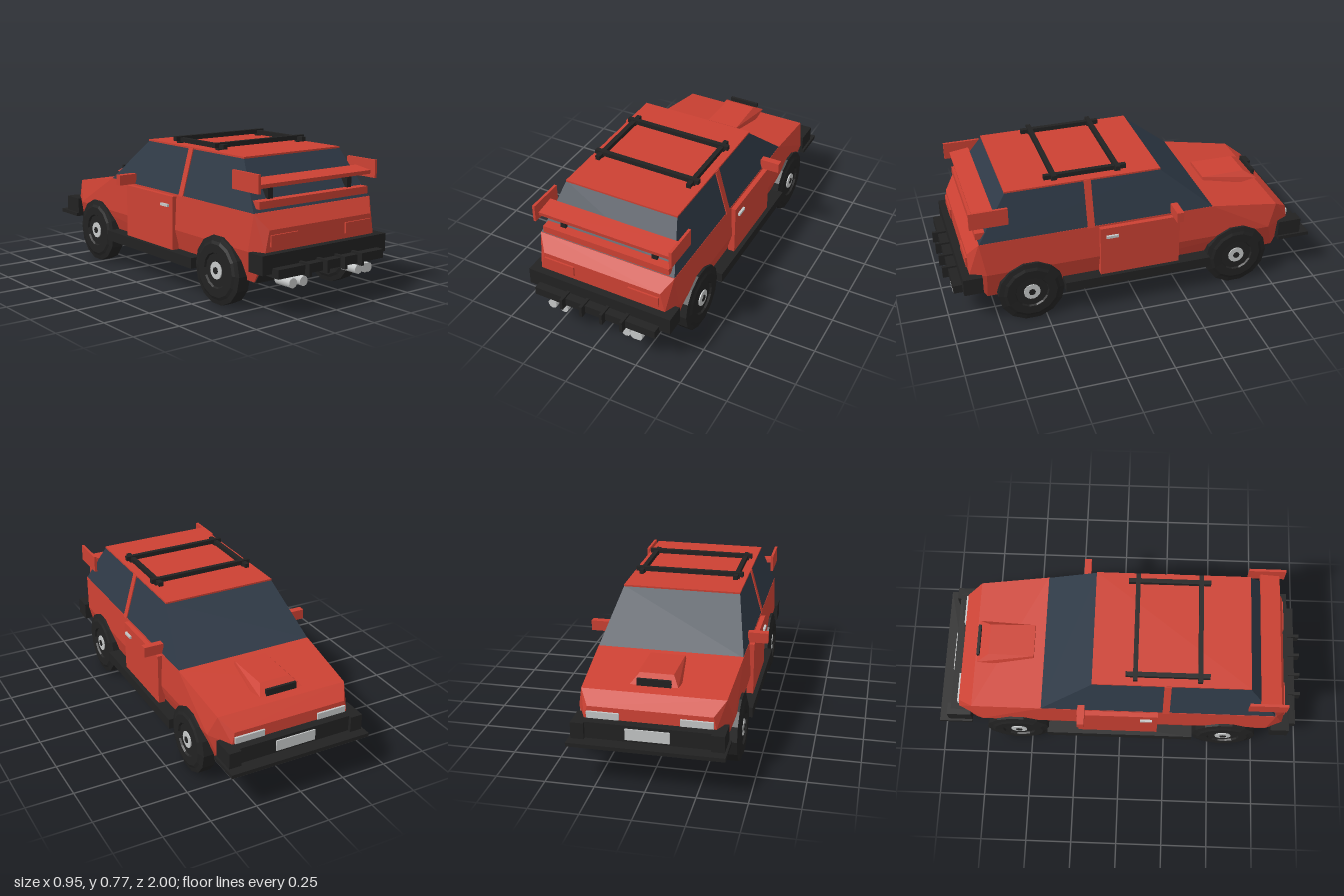
import * as THREE from 'three';
import { ConvexGeometry } from 'three/addons/geometries/ConvexGeometry.js';

const paint = (name, color) => Object.assign(new THREE.MeshStandardMaterial({ color }), { name });

export function createModel() {
  const car = new THREE.Group();
  car.name = 'hatchback';
  const red = paint('red paint', 0xcc4133);
  const glass = paint('tinted glass', 0x2f3a47);
  const black = paint('black trim', 0x222222);
  const silver = paint('silver metal', 0xc6c8c8);

  const add = (name, geo, mat) => {
    const m = new THREE.Mesh(geo, mat);
    m.name = name;
    car.add(m);
    return m;
  };
  // box given by its minimum and maximum on each axis
  const box = (name, mat, x0, x1, y0, y1, z0, z1) => {
    const g = new THREE.BoxGeometry(x1 - x0, y1 - y0, z1 - z0);
    g.translate((x0 + x1) / 2, (y0 + y1) / 2, (z0 + z1) / 2);
    return add(name, g, mat);
  };
  // the same box on both sides of the car
  const pair = (name, mat, x0, x1, ...rest) => {
    box(name + 'Left', mat, x0, x1, ...rest);
    box(name + 'Right', mat, -x1, -x0, ...rest);
  };
  // convex solid from corner points of the left half, mirrored to the right
  const hull = (name, mat, pts) => add(name, new ConvexGeometry(
    pts.flatMap(([x, y, z]) => [new THREE.Vector3(x, y, z), new THREE.Vector3(-x, y, z)])), mat);

  // Body shell with chamfered corners and sloping bonnet
  hull('body', red, [
    [0.35, 0.155, 0.8], [0.34, 0.16, -0.8],
    [0.39, 0.31, 0.8], [0.355, 0.31, 0.885], [0.39, 0.31, -0.75], [0.325, 0.315, -0.885],
    [0.33, 0.42, 0.885], [0.38, 0.495, 0.83], [0.38, 0.495, -0.42],
    [0.36, 0.43, -0.8], [0.31, 0.375, -0.88],
  ]);
  box('floor', black, -0.335, 0.335, 0.147, 0.156, -0.8, 0.8);
  hull('rearLowerPanel', black, [
    [0.345, 0.148, 0.79], [0.345, 0.155, 0.806], [0.335, 0.25, 0.858], [0.335, 0.25, 0.845]]);
  hull('frontLowerPanel', black, [
    [0.33, 0.148, -0.79], [0.33, 0.16, -0.806], [0.32, 0.25, -0.862], [0.32, 0.25, -0.845]]);

  // Cabin: glass all round, painted roof and centre pillars
  hull('cabinGlass', glass, [
    [0.38, 0.49, -0.425], [0.38, 0.49, 0.83], [0.312, 0.732, -0.14], [0.312, 0.732, 0.67]]);
  box('roof', red, -0.313, 0.313, 0.729, 0.738, -0.145, 0.673);
  for (const s of [1, -1]) {
    const pts = [];
    for (const z of [0.228, 0.265]) for (const d of [-0.003, 0.005]) {
      pts.push(new THREE.Vector3(s * (0.38 + d), 0.49, z), new THREE.Vector3(s * (0.312 + d), 0.735, z));
    }
    add('centrePillar', new ConvexGeometry(pts), red);
  }

  // Doors, handles, mirrors and sills
  pair('door', red, 0.37, 0.406, 0.2, 0.485, -0.228, 0.205);
  pair('doorHandle', silver, 0.4, 0.418, 0.428, 0.442, 0.11, 0.175);
  pair('mirror', red, 0.37, 0.476, 0.495, 0.55, -0.222, -0.185);
  pair('sill', black, 0.34, 0.429, 0.15, 0.205, -0.4, 0.4);

  // Bonnet scoop
  hull('bonnetScoop', red, [
    [0.12, 0.465, -0.785], [0.085, 0.503, -0.72], [0.09, 0.503, -0.475],
    [0.1, 0.465, -0.475], [0.12, 0.45, -0.7]]);
  box('scoopIntake', black, -0.085, 0.085, 0.462, 0.497, -0.787, -0.772);

  // Front bumper, splitter, lamps and plate
  box('frontBumper', black, -0.345, 0.345, 0.225, 0.315, -0.931, -0.83);
  pair('frontBumperEnd', black, 0.31, 0.376, 0.225, 0.315, -0.95, -0.82);
  box('splitter', black, -0.388, 0.388, 0.21, 0.23, -1, -0.82);
  box('numberPlate', silver, -0.11, 0.11, 0.242, 0.3, -0.938, -0.93);
  pair('headlight', silver, 0.15, 0.312, 0.318, 0.352, -0.893, -0.87);

  // Rear bumper, diffuser and tail lamps
  box('rearBumper', black, -0.405, 0.405, 0.222, 0.315, 0.825, 0.925);
  box('diffuser', black, -0.345, 0.345, 0.205, 0.25, 0.86, 0.97);
  for (const x of [-0.172, -0.058, 0.058, 0.172]) {
    box('diffuserFin', black, x - 0.008, x + 0.008, 0.197, 0.26, 0.92, 1);
  }
  pair('tailLamp', red, 0.155, 0.325, 0.34, 0.396, 0.87, 0.894);

  // Exhaust pipes
  for (const x of [-0.25, -0.182, 0.18, 0.227, 0.247]) {
    const pipe = new THREE.CylinderGeometry(0.025, 0.025, 0.105, 10);
    pipe.rotateX(Math.PI / 2).translate(x, 0.171, 0.912);
    add('exhaust', pipe, silver);
  }

  // Rear wing with end plates and posts, and the lip below it
  const wing = box('rearWing', red, -0.376, 0.376, -0.01, 0.01, -0.053, 0.053);
  wing.position.set(0, 0.628, 0.787);
  wing.rotation.x = 0.14;
  pair('wingEndPlate', red, 0.372, 0.386, 0.593, 0.685, 0.672, 0.87);
  pair('wingPost', black, 0.244, 0.273, 0.53, 0.625, 0.75, 0.805);
  box('rearLip', red, -0.355, 0.355, 0.513, 0.55, 0.78, 0.84);

  // Roof rack
  pair('rackRail', black, 0.248, 0.272, 0.745, 0.768, 0.027, 0.46);
  for (const z of [0.077, 0.41]) {
    box('rackBar', black, -0.296, 0.296, 0.75, 0.774, z - 0.012, z + 0.012);
    pair('rackFoot', black, 0.25, 0.276, 0.735, 0.752, z - 0.012, z + 0.012);
  }

  // Wheels: faceted tyre with stepped sidewall, hub ring and cap
  const half = [[0.02, 0.036], [0.085, 0.036], [0.09, 0.046], [0.135, 0.047], [0.15, 0.04], [0.175, 0.034]];
  const profile = [
    ...half.map(([r, a]) => new THREE.Vector2(r, -a)),
    ...half.slice().reverse().map(([r, a]) => new THREE.Vector2(r, a)),
  ];
  const tyre = new THREE.LatheGeometry(profile, 14).toNonIndexed();
  tyre.computeVertexNormals();
  const parts = [
    ['tyre', tyre, black],
    ['hubRing', new THREE.CylinderGeometry(0.044, 0.044, 0.084, 14), silver],
    ['hubCap', new THREE.CylinderGeometry(0.018, 0.018, 0.092, 8), black],
  ];
  for (const [, geo] of parts) geo.rotateZ(-Math.PI / 2);
  for (const z of [0.576, -0.562]) for (const s of [1, -1]) {
    const wheel = new THREE.Group();
    wheel.name = (z > 0 ? 'rear' : 'front') + 'Wheel' + (s > 0 ? 'Left' : 'Right');
    for (const [name, geo, mat] of parts) {
      const m = new THREE.Mesh(geo, mat);
      m.name = name;
      wheel.add(m);
    }
    wheel.position.set(s * 0.367, 0.175, z);
    car.add(wheel);
  }
  return car;
}
